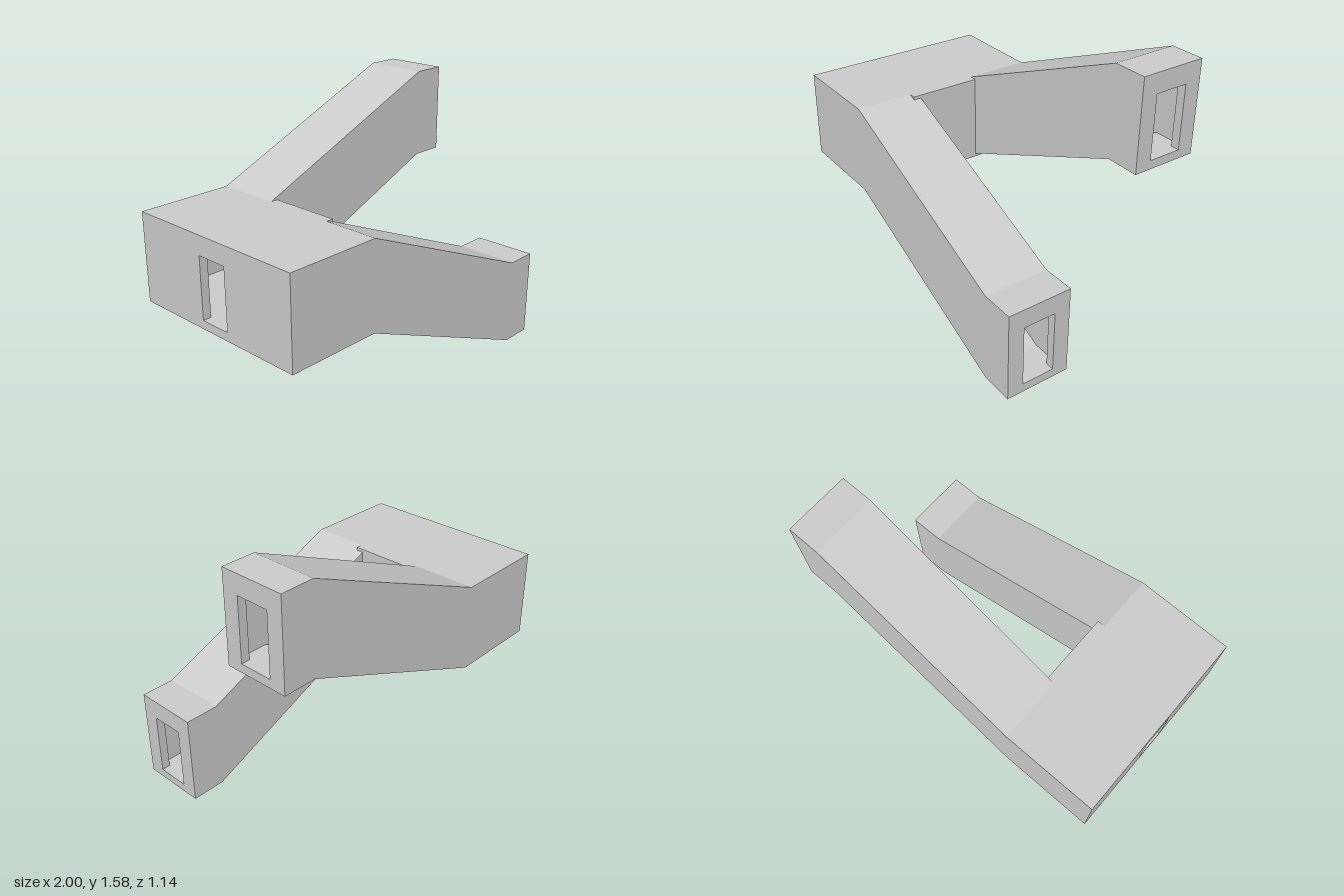
import * as THREE from 'three';

const T = 0.05;          // wall thickness
const H = 0.525;         // duct height
const X1 = -0.43, X2 = 0.805; // start and end of the slope
const Z_OUT = 0.572, Z_IN = 0.19;
const material = new THREE.MeshStandardMaterial({ color: 0xcccccc, flatShading: true, side: THREE.DoubleSide });

function add(group, name, geometry) {
  const mesh = new THREE.Mesh(geometry, material);
  mesh.name = name;
  group.add(mesh);
}

// Box given by its lower and upper corners
function block(a, b) {
  return new THREE.BoxGeometry(b[0] - a[0], b[1] - a[1], b[2] - a[2])
    .translate((a[0] + b[0]) / 2, (a[1] + b[1]) / 2, (a[2] + b[2]) / 2);
}

// Side profile in x and y, extruded between two z values
function profile(points, z0, z1) {
  const shape = new THREE.Shape(points.map(p => new THREE.Vector2(...p)));
  return new THREE.ExtrudeGeometry(shape, { depth: z1 - z0, bevelEnabled: false }).translate(0, 0, z0);
}

// Band following a lower path, with constant vertical height
function band(path, height, z0, z1) {
  const upper = path.map(([x, y]) => [x, y + height]).reverse();
  return profile([...path, ...upper], z0, z1);
}

// Plate across a duct with a rectangular port flush with the inner floor
function portPlate(x, y, z, halfWidth) {
  const shape = new THREE.Shape();
  shape.moveTo(-halfWidth, 0).lineTo(halfWidth, 0).lineTo(halfWidth, H).lineTo(-halfWidth, H).closePath();
  const hole = new THREE.Path();
  hole.moveTo(-0.096, T).lineTo(-0.096, 0.412).lineTo(0.096, 0.412).lineTo(0.096, T).closePath();
  shape.holes.push(hole);
  return new THREE.ExtrudeGeometry(shape, { depth: T, bevelEnabled: false })
    .rotateY(Math.PI / 2).translate(x, y, z);
}

// Hollow arm: side = 1 is the front, -1 the back; endY is its floor at the far end
function createArm(name, side, endY) {
  const arm = new THREE.Group();
  arm.name = name;
  const span = (a, b) => (side > 0 ? [a, b] : [-b, -a]);
  const slope = [[X1, H], [X2, endY]];

  add(arm, 'outerWall', band([[-1, H], ...slope, [1, endY]], H, ...span(Z_OUT - T, Z_OUT)));
  add(arm, 'innerWall', band([...slope, [1, endY]], H, ...span(Z_IN, Z_IN + T)));

  const inside = span(Z_IN + T, Z_OUT - T);
  const path = [...slope, [1 - T, endY]];
  add(arm, 'floor', band(path, T, ...inside));
  add(arm, 'ceiling', band(path.map(([x, y]) => [x, y + H - T]), T, ...inside));

  const middle = (inside[0] + inside[1]) / 2;
  add(arm, 'endPort', portPlate(1 - T, endY, middle, (inside[1] - inside[0]) / 2));
  return arm;
}

// Hollow junction box joining the two arms
function createJunction() {
  const junction = new THREE.Group();
  junction.name = 'junction';
  const w = Z_OUT - T;
  add(junction, 'floor', block([-1 + T, H, -w], [X1, H + T, w]));
  add(junction, 'ceiling', block([-1 + T, 2 * H - T, -w], [X1, 2 * H, w]));
  add(junction, 'inletPort', portPlate(-1, H, 0, w));
  // Wall between the arms, its ends reaching into both of them
  add(junction, 'dividerWall', block([X1, H, -0.236], [-0.385, 2 * H, 0.236]));
  return junction;
}

export function createModel() {
  const model = new THREE.Group();
  model.name = 'ductSplitter';
  model.add(createJunction());
  model.add(createArm('lowerArm', 1, 0));
  model.add(createArm('upperArm', -1, 2 * H));
  return model;
}
